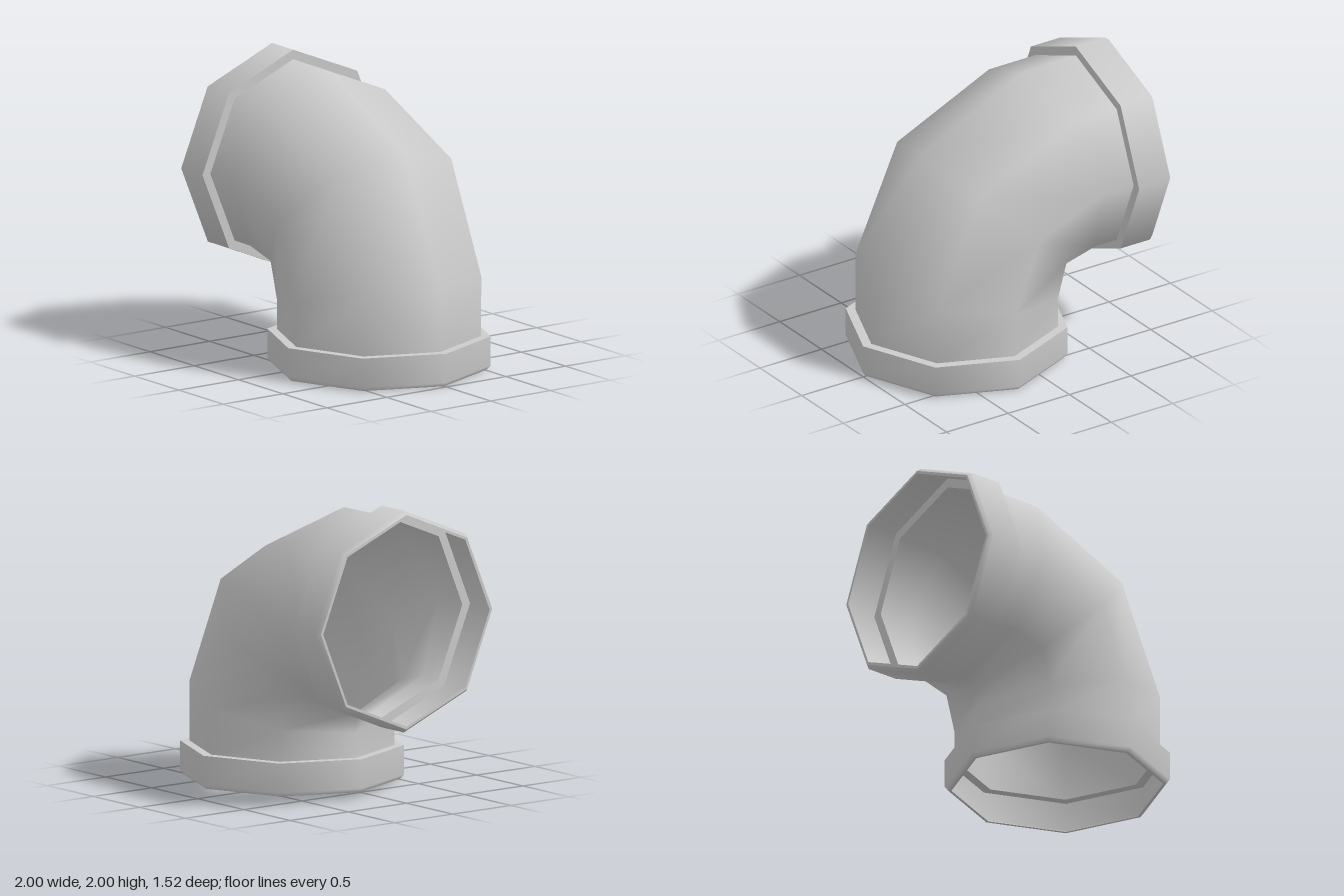
import * as THREE from 'three';

const SIDES = 8;
const AXIS = 0.24; // offset of both pipe axes
const SIDE_LENGTH = 0.27, BOTTOM_LENGTH = 0.23; // collar lengths
const PIPE_END = 0.694; // pipe radius where it meets the collars
// thin-walled part: the same skin is seen inside and out
const material = new THREE.MeshStandardMaterial({ color: 0xcccccc, side: THREE.DoubleSide });

// Station: centre (x, y), tilt of the section in degrees, radius.
function ring([x, y, tilt, r]) {
  const t = THREE.MathUtils.degToRad(tilt);
  return Array.from({ length: SIDES }, (_, i) => {
    const a = (i / SIDES) * Math.PI * 2;
    const d = r * Math.cos(a);
    return new THREE.Vector3(x + d * Math.sin(t), y + d * Math.cos(t), r * Math.sin(a));
  });
}

// Skins consecutive octagonal sections with smooth normals taken around and along the skin
function sweep(stations) {
  const rings = stations.map(ring);
  const last = rings.length - 1;
  const pos = [], normals = [], index = [];
  rings.forEach((points, j) => points.forEach((p, i) => {
    const next = (i + 1) % SIDES, prev = (i + SIDES - 1) % SIDES;
    const around = points[next].clone().sub(points[prev]);
    const along = rings[Math.min(j + 1, last)][i].clone().sub(rings[Math.max(j - 1, 0)][i]);
    pos.push(...p.toArray());
    normals.push(...around.cross(along).normalize().toArray());
    if (j < last) {
      const a = j * SIDES + i, b = j * SIDES + next;
      index.push(a, b, b + SIDES, a, b + SIDES, a + SIDES);
    }
  }));
  const g = new THREE.BufferGeometry();
  g.setAttribute('position', new THREE.Float32BufferAttribute(pos, 3));
  g.setAttribute('normal', new THREE.Float32BufferAttribute(normals, 3));
  g.setIndex(index);
  return g;
}

function add(group, name, stations) {
  const mesh = new THREE.Mesh(sweep(stations), material);
  mesh.name = name;
  group.add(mesh);
}

// Collar bands as [depth from the opening, radius]; each is its own surface so its edges stay sharp
function collar(name, length, place, reversed) {
  const bands = {
    rim: [[0, 0.715], [0, 0.735]],
    wall: [[0, 0.735], [0.03, 0.76], [length, 0.76]],
    shoulder: [[length, 0.76], [length, PIPE_END]],
  };
  const group = new THREE.Group();
  group.name = name;
  for (const [part, profile] of Object.entries(bands)) {
    const stations = profile.map(([depth, r]) => place(depth, r));
    add(group, part, reversed ? stations.reverse() : stations);
  }
  return group;
}

export function createModel() {
  const model = new THREE.Group();
  model.name = 'pipeElbow';

  // bent pipe from the side collar down to the bottom collar
  add(model, 'pipe', [
    [-1 + SIDE_LENGTH, 1 + AXIS, 0, PIPE_END],
    [-0.46, 1 + AXIS, 11.5, 0.702],
    [0.035, 1.04, 45, 0.702],
    [AXIS, 0.54, 78.5, 0.702],
    [AXIS, BOTTOM_LENGTH, 90, PIPE_END],
  ]);

  model.add(collar('sideCollar', SIDE_LENGTH, (d, r) => [-1 + d, 1 + AXIS, 0, r], false));
  model.add(collar('bottomCollar', BOTTOM_LENGTH, (d, r) => [AXIS, d, 90, r], true));
  return model;
}
